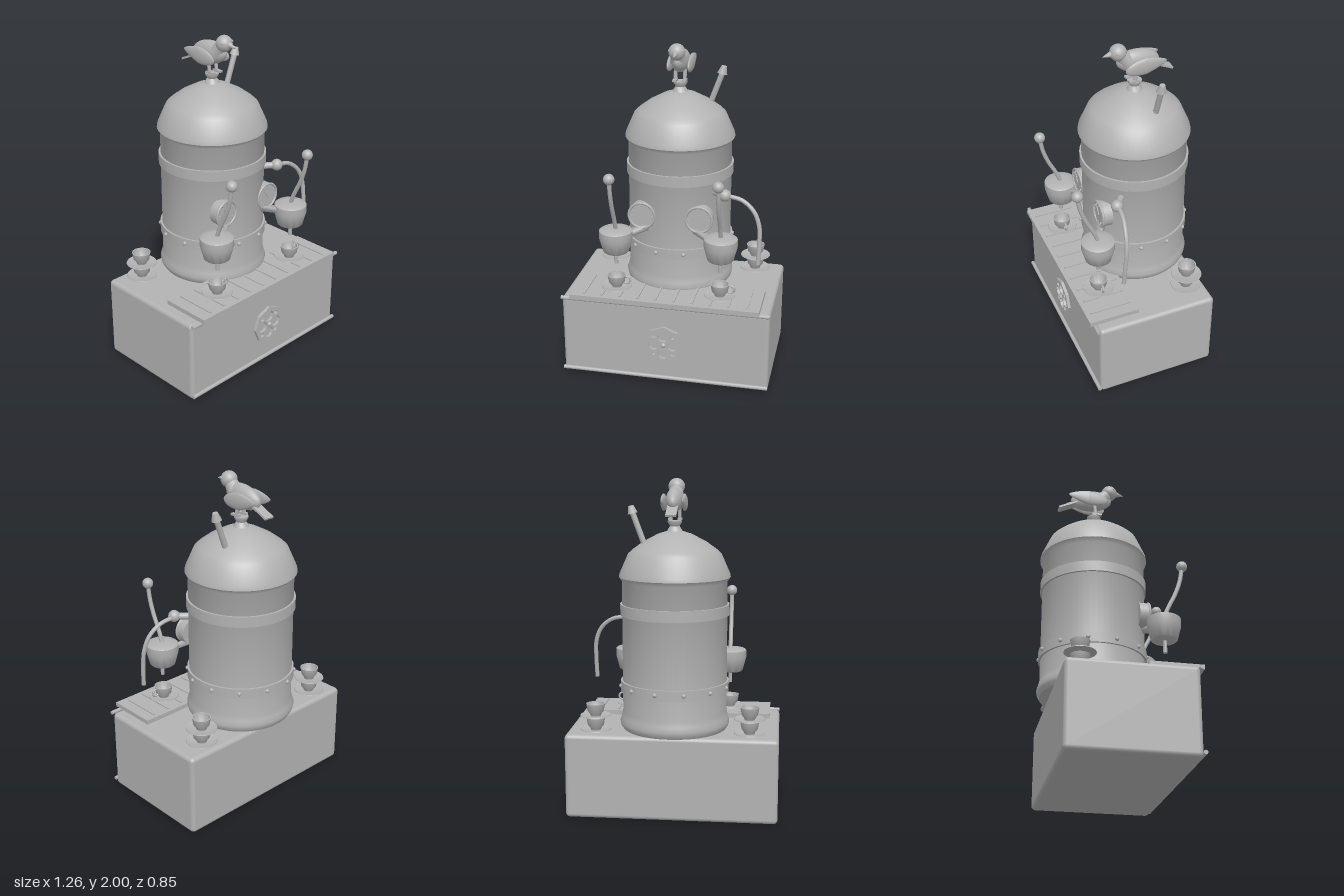
import * as THREE from 'three';
import { toCreasedNormals } from 'three/addons/utils/BufferGeometryUtils.js';
import { RoundedBoxGeometry } from 'three/addons/geometries/RoundedBoxGeometry.js';

const metal = new THREE.MeshStandardMaterial({ color: 0xb2b2b2 });
metal.name = 'plain grey metal';
const V = (x, y, z) => new THREE.Vector3(x, y, z);

function add(parent, name, geometry, x = 0, y = 0, z = 0) {
  const mesh = new THREE.Mesh(geometry, metal);
  mesh.name = name;
  mesh.position.set(x, y, z);
  parent.add(mesh);
  return mesh;
}

function subgroup(parent, name, x = 0, y = 0, z = 0) {
  const g = new THREE.Group();
  g.name = name;
  g.position.set(x, y, z);
  parent.add(g);
  return g;
}

// Turned part from [radius, height] pairs, listed from the bottom centre outward and up
function turned(points, segments = 48) {
  const profile = points.map(([r, y]) => new THREE.Vector2(r, y));
  return toCreasedNormals(new THREE.LatheGeometry(profile, segments), 0.75);
}

// Straight rod between two points, r0 at the start and r1 at the end
function rod(parent, name, a, b, r0, r1 = r0, sides = 14) {
  const mesh = add(parent, name, new THREE.CylinderGeometry(r1, r0, a.distanceTo(b), sides));
  mesh.position.copy(a).lerp(b, 0.5);
  mesh.quaternion.setFromUnitVectors(V(0, 1, 0), b.clone().sub(a).normalize());
  return mesh;
}

function bentTube(parent, name, points, r) {
  const curve = new THREE.CatmullRomCurve3(points);
  add(parent, name, new THREE.TubeGeometry(curve, 28, r, 10));
  const end = points[points.length - 1];
  rod(parent, name + 'Tip', curve.getPoint(0.98), end, r, r * 1.02, 10);
}

const cupGeometry = turned([[0, 0], [0.03, 0], [0.034, 0.012], [0.048, 0.03], [0.056, 0.075],
  [0.05, 0.075], [0.042, 0.035], [0.025, 0.014], [0, 0.012]], 28);
const saucerGeometry = turned([[0, 0], [0.045, 0], [0.092, 0.013], [0.09, 0.018], [0.045, 0.006], [0, 0.006]], 32);

function cupAndSaucer(parent, x, y, z, handle) {
  const g = subgroup(parent, 'cupAndSaucer', x, y, z);
  add(g, 'saucer', saucerGeometry);
  add(g, 'cup', cupGeometry, 0, 0.01, 0);
  if (handle) add(g, 'cupHandle', new THREE.TorusGeometry(0.022, 0.006, 8, 20), 0.062, 0.055, 0);
}

function addBase(model) {
  const base = subgroup(model, 'base');
  add(base, 'cabinet', new RoundedBoxGeometry(1.26, 0.51, 0.74, 4, 0.025), 0, 0.26, 0.01);
  for (const y of [0.035, 0.512]) rod(base, 'trimRod', V(-0.63, y, 0.388), V(0.63, y, 0.388), 0.012);

  // Drip tray with its row of bars
  add(base, 'dripTray', new THREE.BoxGeometry(1.14, 0.027, 0.31), 0, 0.537, 0.265);
  for (let i = 0; i < 10; i++) {
    add(base, 'trayBar', new THREE.BoxGeometry(0.014, 0.008, 0.255), -0.487 + i * 0.109, 0.553, 0.263);
  }

  // Pierced octagonal rosette
  const ngon = (path, n, r, cx, cy, turn = 0) => path.setFromPoints(Array.from({ length: n }, (_, i) => {
    const a = turn + (i * Math.PI * 2) / n;
    return new THREE.Vector2(cx + r * Math.cos(a), cy + r * Math.sin(a));
  }));
  const plate = ngon(new THREE.Shape(), 8, 0.12, 0, 0);
  for (let i = 0; i < 4; i++) {
    const a = (i * Math.PI) / 2, b = a + Math.PI / 4;
    plate.holes.push(ngon(new THREE.Path(), 10, 0.036, 0.057 * Math.cos(a), 0.057 * Math.sin(a)));
    plate.holes.push(ngon(new THREE.Path(), 6, 0.016, 0.082 * Math.cos(b), 0.082 * Math.sin(b), b));
  }
  add(base, 'rosette', new THREE.ExtrudeGeometry(plate, { depth: 0.02, bevelEnabled: false }), 0, 0.26, 0.378);
  add(base, 'rosetteHub', new THREE.SphereGeometry(0.016, 14, 10), 0, 0.26, 0.396);
}

function addBoiler(model) {
  const boiler = subgroup(model, 'boiler', 0, 0, -0.097);
  add(boiler, 'boilerShell', turned([[0, 0.52], [0.312, 0.52], [0.325, 0.54], [0.329, 0.562], [0.32, 0.59],
    [0.312, 0.625], [0.312, 1.405], [0.33, 1.43], [0.326, 1.45], [0.275, 1.565], [0.25, 1.588], [0.19, 1.632],
    [0.1, 1.68], [0.045, 1.697], [0, 1.7]], 64));
  for (const [y0, y1] of [[0.748, 0.81], [1.205, 1.27]]) {
    add(boiler, 'boilerBand', turned([[0.31, y0], [0.324, y0], [0.324, y1], [0.31, y1]], 64));
  }
  for (let i = 0; i < 12; i++) {
    const a = ((i + 0.5) * Math.PI) / 6;
    add(boiler, 'rivet', new THREE.SphereGeometry(0.013, 10, 8), 0.324 * Math.sin(a), 0.78, 0.324 * Math.cos(a));
  }
  add(boiler, 'finial', turned([[0.05, 1.69], [0.042, 1.705], [0.028, 1.725], [0.042, 1.748], [0.042, 1.757], [0, 1.757]], 24));

  // Relief valve leaning out of the dome
  rod(model, 'valveStem', V(0.165, 1.6, -0.152), V(0.243, 1.81, -0.152), 0.017);
  rod(model, 'valveCap', V(0.24, 1.8, -0.152), V(0.251, 1.845, -0.152), 0.03, 0.016, 12);
}

function addBird(model) {
  const bird = subgroup(model, 'bird');
  const body = add(bird, 'birdBody', new THREE.SphereGeometry(1, 24, 16), 0, 1.877, -0.115);
  body.scale.set(0.05, 0.07, 0.132);
  body.rotation.x = -0.12;
  rod(bird, 'birdNeck', V(0, 1.89, -0.05), V(0, 1.945, -0.003), 0.05, 0.036);
  add(bird, 'birdHead', new THREE.SphereGeometry(0.049, 20, 14), 0, 1.951, 0.004);
  rod(bird, 'beak', V(0, 1.95, 0.042), V(0, 1.94, 0.098), 0.02, 0.001, 10);
  const tail = add(bird, 'tail', new THREE.BoxGeometry(0.062, 0.012, 0.14), 0, 1.825, -0.258);
  tail.rotation.x = -0.42;
  for (const s of [-1, 1]) {
    // Leaf-shaped wing, drawn out to a point at the back
    const wing = new THREE.SphereGeometry(1, 16, 12);
    const p = wing.attributes.position;
    for (let i = 0; i < p.count; i++) {
      const z = p.getZ(i), taper = z < 0 ? 1 + 0.45 * z : 1;
      p.setXYZ(i, p.getX(i) * taper * 0.017, p.getY(i) * taper * 0.05 - 0.012 * z, z * 0.126);
    }
    wing.computeVertexNormals();
    add(bird, 'wing', wing, s * 0.061, 1.865, -0.142);
    add(bird, 'eye', new THREE.SphereGeometry(0.007, 8, 6), s * 0.041, 1.962, 0.026);
    rod(bird, 'leg', V(s * 0.028, 1.765, -0.088), V(s * 0.028, 1.83, -0.095), 0.011);
    add(bird, 'foot', new THREE.BoxGeometry(0.024, 0.012, 0.06), s * 0.028, 1.765, -0.08);
  }
}

function addBrewGroup(model, s) {
  const g = subgroup(model, s > 0 ? 'leftBrewGroup' : 'rightBrewGroup');
  const x = s * 0.315;
  add(g, 'brewHead', turned([[0, 0.79], [0.07, 0.79], [0.078, 0.797], [0.1, 0.88], [0.099, 0.925], [0.09, 0.932],
    [0.05, 0.938], [0, 0.94]], 36), x, 0, 0.264);
  rod(g, 'spout', V(x, 0.715, 0.268), V(x, 0.8, 0.268), 0.012);
  rod(g, 'brewArm', V(s * 0.27, 0.885, 0.24), V(s * 0.13, 0.94, 0.165), 0.02, 0.03, 4);

  // Lever with a ball knob
  bentTube(g, 'lever', [V(x, 0.925, 0.262), V(x, 1.0, 0.29), V(x, 1.1, 0.338), V(x, 1.19, 0.368), V(x, 1.275, 0.382)], 0.013);
  add(g, 'leverKnob', new THREE.SphereGeometry(0.033, 20, 14), x, 1.287, 0.383);

  // Pressure gauge with rim, ticks and hand
  const gauge = subgroup(g, 'gauge', s * 0.172, 1.005, 0.2);
  rod(gauge, 'gaugeBody', V(0, 0, -0.06), V(0, 0, 0), 0.08, 0.08, 32);
  add(gauge, 'gaugeRim', new THREE.TorusGeometry(0.078, 0.008, 10, 36));
  for (let i = 0; i < 12; i++) {
    const a = (i * Math.PI) / 6;
    const tick = add(gauge, 'gaugeTick', new THREE.BoxGeometry(0.012, 0.004, 0.005), 0.06 * Math.cos(a), 0.06 * Math.sin(a), 0.002);
    tick.rotation.z = a;
  }
  const hand = add(gauge, 'gaugeHand', new THREE.BoxGeometry(0.006, 0.055, 0.005), -0.012, 0.018, 0.002);
  hand.rotation.z = 0.6;

  cupAndSaucer(model, x, 0.552, 0.265, true);
}

function addSteamWand(model) {
  const wand = subgroup(model, 'steamWand');
  rod(wand, 'wandStub', V(0.22, 1.145, 0.07), V(0.315, 1.15, 0.143), 0.02);
  add(wand, 'wandJoint', new THREE.SphereGeometry(0.036, 20, 14), 0.315, 1.15, 0.143);
  bentTube(wand, 'wandPipe', [V(0.325, 1.147, 0.138), V(0.42, 1.128, 0.148), V(0.49, 1.07, 0.162),
    V(0.525, 0.985, 0.172), V(0.53, 0.88, 0.182), V(0.526, 0.75, 0.19)], 0.013);
}

export function createModel() {
  const model = new THREE.Group();
  model.name = 'espressoMachine';
  addBase(model);
  addBoiler(model);
  addBird(model);
  for (const s of [-1, 1]) {
    addBrewGroup(model, s);
    // Stacked spare cups at the back
    for (const y of [0.515, 0.6]) cupAndSaucer(model, s * 0.457, y, -0.25, false);
  }
  addSteamWand(model);
  return model;
}
